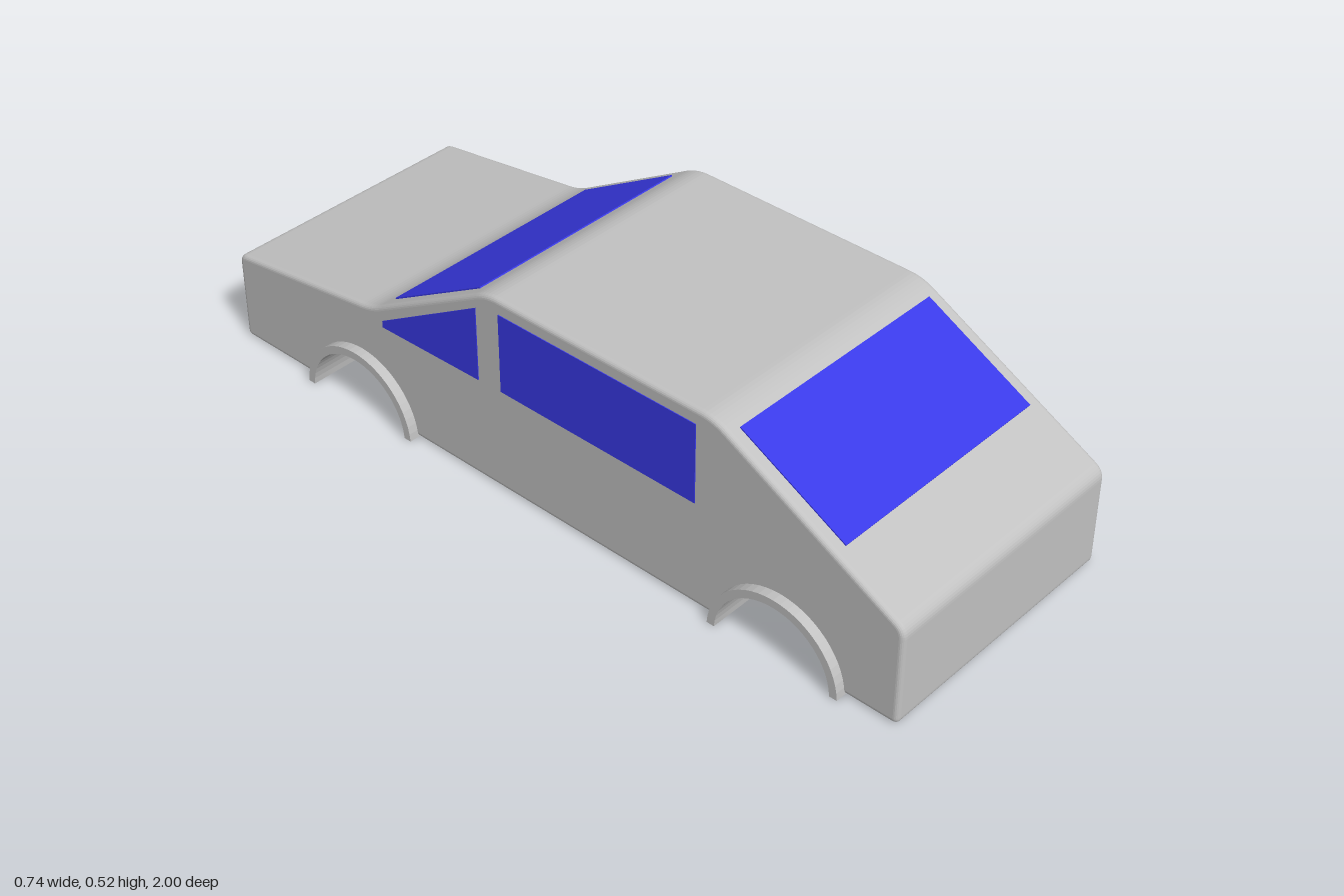
import * as THREE from 'three';

const HALF_WIDTH = 0.345, BEVEL = 0.012;
const WHEEL_Y = -0.01;
const WHEELS = { front: 0.69, rear: -0.57 };
const WELL_R = 0.163, WELL_INNER_X = 0.18;

// Extrudes a side profile (z, y) between two x positions
function extrudeAcross(shape, x0, x1, bevel = 0) {
  const geo = new THREE.ExtrudeGeometry(shape, {
    depth: x1 - x0 - 2 * bevel, curveSegments: 28,
    bevelEnabled: bevel > 0, bevelThickness: bevel, bevelSize: bevel,
    bevelOffset: -bevel, bevelSegments: 5,
  });
  geo.translate(0, 0, -x1 + bevel);
  geo.rotateY(-Math.PI / 2);
  return geo;
}

// Points of an arc above the ground line, from +z to -z
function archPoints(z, r, steps = 28) {
  const a0 = Math.asin(-WHEEL_Y / r);
  return Array.from({ length: steps + 1 }, (_, i) => {
    const a = a0 + (Math.PI - 2 * a0) * i / steps;
    const y = i === 0 || i === steps ? 0 : WHEEL_Y + r * Math.sin(a);
    return new THREE.Vector2(z + r * Math.cos(a), y);
  });
}

// Side outline with softened corners and wheel cut-outs along the bottom
function bodyShape() {
  const corners = [ // z, y, softening length
    [-1, 0, 0.016], [1, 0, 0.016], [1, 0.252, 0.025], [0.5, 0.517, 0.035],
    [-0.15, 0.517, 0.035], [-0.53, 0.3, 0.035], [-1, 0.234, 0.022],
  ];
  const pts = [];
  corners.forEach(([z, y, r], i) => {
    const c = new THREE.Vector2(z, y);
    const toward = (j) => {
      const n = corners[(j + corners.length) % corners.length];
      return new THREE.Vector2(n[0], n[1]).sub(c).setLength(r).add(c);
    };
    pts.push(...new THREE.QuadraticBezierCurve(toward(i - 1), c, toward(i + 1)).getPoints(7));
    if (i === 0) {
      for (const wz of [WHEELS.rear, WHEELS.front]) pts.push(...archPoints(wz, WELL_R).reverse());
    }
  });
  return new THREE.Shape(pts);
}

// Thin profile strip lying on a sloped line from a to b
function stripShape(a, b) {
  const n = new THREE.Vector2(-(b[1] - a[1]), b[0] - a[0]).setLength(0.003);
  if (n.y < 0) n.negate();
  const p = (q, s) => new THREE.Vector2(q[0] + s * n.x, q[1] + s * n.y);
  return new THREE.Shape([p(a, -1), p(b, -1), p(b, 1), p(a, 1)]);
}

export function createModel() {
  const model = new THREE.Group();
  model.name = 'car';
  const paint = new THREE.MeshStandardMaterial({ color: 0xc2c2c2 });
  paint.name = 'grey paint';
  const glass = new THREE.MeshStandardMaterial({ color: 0x3c3cee });
  glass.name = 'blue glass';

  const add = (name, geo, mat) => {
    const mesh = new THREE.Mesh(geo, mat);
    mesh.name = name;
    model.add(mesh);
  };

  add('body', extrudeAcross(bodyShape(), -HALF_WIDTH, HALF_WIDTH, BEVEL), paint);

  const sides = { left: 1, right: -1 };
  const onSide = (shape, s, inner, outer) =>
    extrudeAcross(shape, Math.min(s * inner, s * outer), Math.max(s * inner, s * outer));

  for (const [end, z] of Object.entries(WHEELS)) {
    // Solid floor between the left and right wheel wells
    const core = new THREE.Shape(archPoints(z, WELL_R + 0.003));
    add(end + 'WellCore', extrudeAcross(core, -WELL_INNER_X, WELL_INNER_X), paint);
    // Well lining that stands out from the side as an arch
    const ring = new THREE.Shape([...archPoints(z, 0.176), ...archPoints(z, 0.156).reverse()]);
    for (const [side, s] of Object.entries(sides)) {
      add(`${side}${end}WheelArch`, onSide(ring, s, WELL_INNER_X - 0.01, 0.37), paint);
    }
  }

  // Windscreen and rear window on the slopes
  add('windscreen', extrudeAcross(stripShape([0.82, 0.3474], [0.54, 0.4958]), -0.31, 0.31), glass);
  add('rearWindow', extrudeAcross(stripShape([-0.2, 0.4885], [-0.48, 0.3286]), -0.31, 0.31), glass);

  // Side windows
  const outline = (pts) => new THREE.Shape(pts.map(([z, y]) => new THREE.Vector2(z, y)));
  const sideWindow = outline([[-0.11, 0.275], [0.455, 0.275], [0.455, 0.48], [-0.11, 0.48]]);
  const quarterWindow = outline([[-0.49, 0.265], [-0.18, 0.272], [-0.18, 0.465], [-0.49, 0.282]]);
  for (const [side, s] of Object.entries(sides)) {
    add(side + 'SideWindow', onSide(sideWindow, s, HALF_WIDTH - 0.003, HALF_WIDTH + 0.002), glass);
    add(side + 'QuarterWindow', onSide(quarterWindow, s, HALF_WIDTH - 0.003, HALF_WIDTH + 0.002), glass);
  }
  return model;
}
